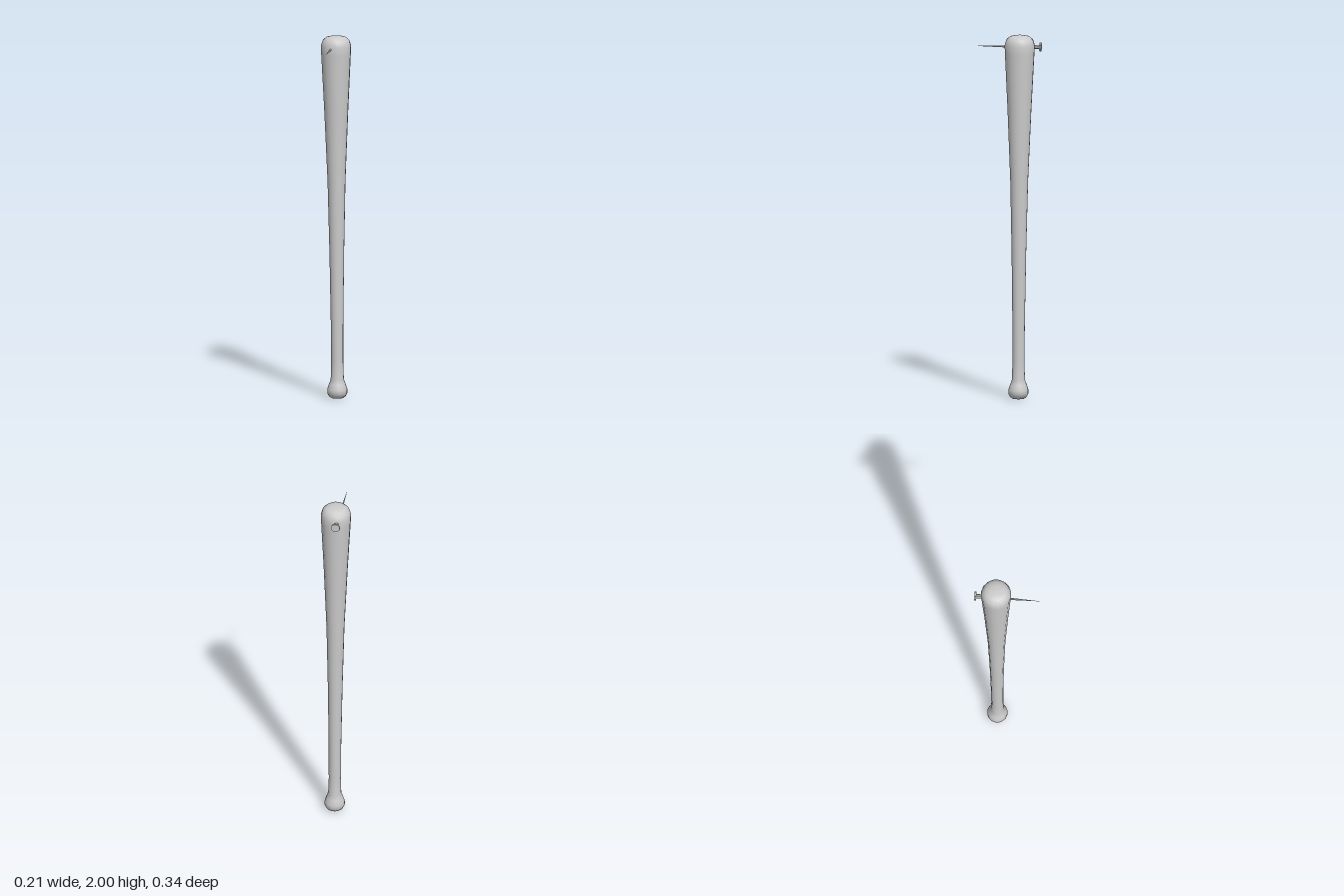
import * as THREE from 'three';

export function createModel() {
  const model = new THREE.Group();
  const wood = new THREE.MeshStandardMaterial({ color: 0xcccccc });
  const steel = new THREE.MeshStandardMaterial({ color: 0xcccccc, flatShading: true });

  // Bat: one turned profile from knob to rounded tip, [radius, height]
  const profile = [
    [0, 0], [0.032, 0.002], [0.046, 0.012], [0.055, 0.03], [0.055, 0.05], [0.046, 0.078],
    [0.036, 0.105], [0.033, 0.2], [0.034, 0.4], [0.04, 0.8], [0.049, 1.2], [0.066, 1.6],
    [0.081, 1.9], [0.083, 1.945], [0.074, 1.975], [0.055, 1.993], [0.028, 1.999], [0, 2],
  ].map(([r, y]) => new THREE.Vector2(r, y));
  const bat = new THREE.Mesh(new THREE.LatheGeometry(profile, 16, Math.PI / 16), wood);
  bat.name = 'bat';
  bat.position.set(0.025, 0, -0.043);
  bat.rotation.set(-0.005, 0, 0.0025); // slight lean
  model.add(bat);

  // Nail driven through the barrel, from head to point
  const head = new THREE.Vector3(0.053, 1.935, -0.161);
  const tip = new THREE.Vector3(-0.105, 1.935, 0.167);
  const axis = tip.clone().sub(head);
  const length = axis.length();
  const nail = new THREE.Group();
  nail.name = 'nail';
  nail.position.copy(head);
  nail.quaternion.setFromUnitVectors(new THREE.Vector3(0, 1, 0), axis.normalize());

  const shank = new THREE.Mesh(new THREE.ConeGeometry(0.0125, length, 8), steel);
  shank.name = 'nailShank';
  shank.position.y = length / 2;
  const cap = new THREE.Mesh(new THREE.CylinderGeometry(0.025, 0.025, 0.01, 8), steel);
  cap.name = 'nailHead';
  nail.add(shank, cap);
  model.add(nail);

  return model;
}
